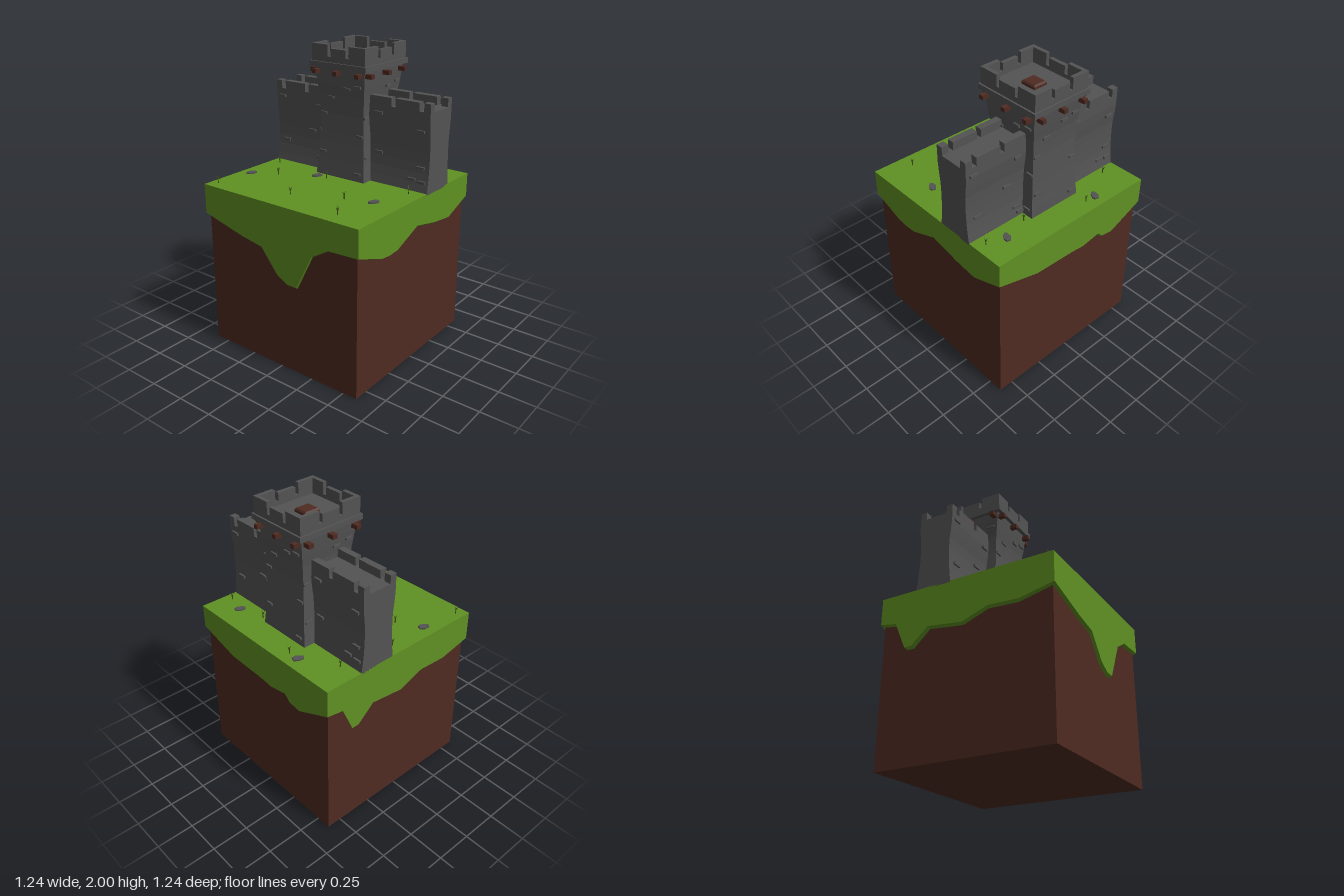
import * as THREE from 'three';

const mat = (name, color) => {
  const m = new THREE.MeshStandardMaterial({ color });
  m.name = name;
  return m;
};

// piecewise linear lookup in [[y, value], ...]
function lookup(profile, y) {
  for (let i = 1; i < profile.length; i++) {
    const [y0, a] = profile[i - 1], [y1, b] = profile[i];
    if (y <= y1) return a + (b - a) * Math.max(0, (y - y0) / (y1 - y0));
  }
  return profile[profile.length - 1][1];
}

export function createModel() {
  const model = new THREE.Group();
  const stone = mat('stone', 0x535353);
  const grass = mat('grass', 0x5f9122);
  const earth = mat('earth', 0x4e2b22);
  const sproutGreen = mat('sprout', 0x3c4f14);

  const add = (name, geo, material, parent = model) => {
    const mesh = new THREE.Mesh(geo, material);
    mesh.name = name;
    parent.add(mesh);
    return mesh;
  };
  // box from its lower and upper limits
  const block = (name, x0, x1, y0, y1, z0, z1, material, parent) => {
    const m = add(name, new THREE.BoxGeometry(x1 - x0, y1 - y0, z1 - z0), material, parent);
    m.position.set((x0 + x1) / 2, (y0 + y1) / 2, (z0 + z1) / 2);
    return m;
  };
  const group = (name, x = 0, y = 0, z = 0) => {
    const g = new THREE.Group();
    g.name = name;
    g.position.set(x, y, z);
    model.add(g);
    return g;
  };
  const flat = (g) => {
    const n = g.index ? g.toNonIndexed() : g;
    n.computeVertexNormals();
    return n;
  };
  // column whose half width and half depth follow rules of height
  const curvedColumn = (y0, y1, segments, halfX, halfZ) => {
    const geo = new THREE.BoxGeometry(2, y1 - y0, 2, 1, segments, 1);
    geo.translate(0, (y0 + y1) / 2, 0);
    const p = geo.attributes.position;
    for (let i = 0; i < p.count; i++) {
      const y = p.getY(i);
      p.setX(i, p.getX(i) * halfX(y));
      p.setZ(i, p.getZ(i) * halfZ(y));
    }
    return flat(geo);
  };

  // earth block and turf with a ragged hanging edge
  block('earthBlock', -0.6, 0.6, 0, 1.12, -0.6, 0.6, earth);
  const top = 1.13, R = 0.62, IN = 0.6;
  const turf = group('turf');
  const turfTop = add('turfTop', new THREE.PlaneGeometry(2 * R, 2 * R), grass, turf);
  turfTop.rotation.x = -Math.PI / 2;
  turfTop.position.y = top;
  const edges = [
    ['turfFront', 0, [[-0.62, 0.95], [-0.38, 0.865], [-0.31, 0.857], [-0.22, 0.862], [0, 0.95], [0.22, 0.905], [0.39, 0.885], [0.62, 0.97]]],
    ['turfLeft', Math.PI / 2, [[-0.62, 0.97], [-0.31, 0.885], [0, 0.875], [0.09, 0.865], [0.23, 0.89], [0.27, 0.85], [0.36, 0.835], [0.62, 0.95]]],
    ['turfBack', Math.PI, [[-0.62, 0.95], [-0.5, 0.93], [-0.42, 0.75], [-0.37, 0.75], [-0.25, 0.855], [0, 0.825], [0.18, 0.89], [0.39, 0.88], [0.62, 0.93]]],
    ['turfRight', -Math.PI / 2, [[-0.62, 0.93], [-0.3, 0.85], [-0.13, 0.82], [0, 0.66], [0.08, 0.62], [0.15, 0.62], [0.28, 0.87], [0.4, 0.94], [0.62, 0.95]]],
  ];
  for (const [name, turn, pts] of edges) {
    const v = [];
    const quad = (a, b, c, d) => v.push(...a, ...b, ...c, ...a, ...c, ...d);
    const inner = ([u, y]) => [u * IN / R, y - 0.015, IN - 0.002];
    for (let i = 1; i < pts.length; i++) {
      const a = pts[i - 1], b = pts[i];
      const lo = [a[0], a[1], R], hi = [b[0], b[1], R];
      quad(lo, hi, [b[0], top, R], [a[0], top, R]);
      quad(inner(a), inner(b), hi, lo);
    }
    const geo = new THREE.BufferGeometry();
    geo.setAttribute('position', new THREE.Float32BufferAttribute(v, 3));
    add(name, flat(geo), grass, turf).rotation.y = turn;
  }

  const CX = 0.225, CZ = -0.006;

  // curtain wall running front to back, waisted in cross-section
  const wall = group('curtainWall', CX);
  const wallHalf = [[1.12, 0.131], [1.22, 0.117], [1.35, 0.11], [1.45, 0.112], [1.56, 0.125], [1.645, 0.125]];
  const wallX = (y) => lookup(wallHalf, y);
  add('wallBody', curvedColumn(1.12, 1.645, 8, wallX, () => 0.62), stone, wall);
  for (const sx of [-1, 1]) for (const sz of [-1, 1])
    for (const [a, b] of [[0.15, 0.335], [0.365, 0.54], [0.573, 0.62]]) {
      const m = block('wallMerlon', 0.08, 0.125, 1.645, 1.7, a, b, stone, wall);
      m.position.x *= sx;
      m.position.z *= sz;
    }
  const wallBricks = [[0.565, 1.595], [0.31, 1.385], [0.235, 1.565], [0.54, 1.285], [0.24, 1.205], [0.215, 1.163],
    [-0.245, 1.595], [-0.555, 1.52], [-0.245, 1.335], [-0.56, 1.285], [-0.5, 1.205], [-0.575, 1.195]];
  for (const s of [-1, 1]) for (const [z, y] of wallBricks) {
    const m = add('wallBrick', new THREE.BoxGeometry(0.024, 0.018, 0.056), stone, wall);
    m.position.set(s * wallX(y), y, s * z);
  }

  // tower shaft
  const tower = group('tower', CX, 0, CZ);
  const shaft = [[1.12, 0.21], [1.25, 0.198], [1.4, 0.189], [1.55, 0.185], [1.66, 0.189], [1.76, 0.203], [1.86, 0.213]];
  const towerX = (y) => lookup(shaft, y), towerZ = (y) => lookup(shaft, y) * 0.935;
  add('towerShaft', curvedColumn(1.12, 1.86, 12, towerX, towerZ), stone, tower);
  const shaftBricks = [[0.06, 1.73], [-0.09, 1.66], [0.155, 1.75], [-0.16, 1.55], [0.165, 1.43], [-0.16, 1.29], [0.16, 1.18]];
  for (const s of [-1, 1]) for (const [u, y] of shaftBricks) {
    const side = add('towerBrick', new THREE.BoxGeometry(0.022, 0.016, 0.05), stone, tower);
    side.position.set(s * towerX(y), y, -s * u * 0.9);
    const face = add('towerBrick', new THREE.BoxGeometry(0.05, 0.016, 0.022), stone, tower);
    face.position.set(s * u, y, s * towerZ(y));
  }

  // ledge, parapet and battlements
  const HX = 0.227, HZ = 0.21, T = 0.027;
  block('towerLedge', -0.239, 0.239, 1.855, 1.89, -0.222, 0.222, stone, tower);
  block('towerFloor', -HX + T, HX - T, 1.885, 1.9, -HZ + T, HZ - T, stone, tower);
  for (const s of [-1, 1]) {
    const along = (name, x0, x1, y0, y1) => {
      block(name, x0, x1, y0, y1, HZ - T, HZ, stone, tower).position.z *= s;
    };
    const across = (name, z0, z1, y0, y1) => {
      block(name, HX - T, HX, y0, y1, z0, z1, stone, tower).position.x *= s;
    };
    along('parapet', -HX, HX, 1.89, 1.925);
    across('parapet', -HZ + T, HZ - T, 1.89, 1.925);
    along('middleMerlon', -0.065, 0.065, 1.925, 1.977);
    across('middleMerlon', -0.06, 0.06, 1.925, 1.977);
    for (const [a, b] of [[-1, -0.088], [0.088, 1]])
      along('cornerMerlon', Math.max(a, -HX), Math.min(b, HX), 1.925, 2);
    across('cornerMerlon', 0.084, HZ - T, 1.925, 2);
    across('cornerMerlon', -HZ + T, -0.084, 1.925, 2);
  }

  // roof hatch with a bevelled lid
  block('hatchFrame', -0.054, 0.054, 1.9, 1.915, -0.05, 0.05, earth, tower);
  const lid = add('hatchLid', curvedColumn(1.915, 1.925, 1, (y) => (y > 1.92 ? 0.046 : 0.054), (y) => (y > 1.92 ? 0.042 : 0.05)), earth, tower);
  lid.position.y = 0;

  // beam ends under the ledge
  for (const s of [-1, 1]) {
    for (const x of [-0.187, 0, 0.178])
      block('beamEnd', x - 0.017, x + 0.017, 1.813, 1.841, 0.17, 0.245, earth, tower).position.z *= s;
    for (const z of [-0.171, -0.008, 0.163])
      block('beamEnd', 0.18, 0.257, 1.813, 1.841, z - 0.015, z + 0.015, earth, tower).position.x *= s;
  }

  // flat rocks
  const rockShape = new THREE.Shape([[-0.036, 0.01], [-0.024, 0.026], [0.012, 0.022], [0.035, 0.002], [0.028, -0.024], [0.004, -0.026], [-0.024, -0.008]]
    .map(([x, y]) => new THREE.Vector2(x, y)));
  const rockGeo = new THREE.ExtrudeGeometry(rockShape, { depth: 0.014, bevelEnabled: false });
  rockGeo.rotateX(-Math.PI / 2);
  for (const [x, z] of [[-0.273, -0.535], [-0.047, -0.147], [0.535, -0.262], [0.462, 0.42], [-0.227, 0.443]])
    add('rock', rockGeo, stone).position.set(x, top - 0.004, z);

  // three-leaved sprouts
  const stemGeo = new THREE.CylinderGeometry(0.003, 0.004, 0.032, 4);
  const leafGeo = new THREE.ConeGeometry(0.005, 0.03, 4);
  leafGeo.translate(0, 0.012, 0);
  leafGeo.rotateZ(-0.5);
  [[-0.55, -0.565], [0.017, -0.54], [0.4, -0.488], [-0.18, -0.375], [0.535, -0.183], [-0.427, -0.05], [-0.045, -0.068],
    [-0.287, 0.265], [0.412, 0.237], [-0.513, 0.39], [0.035, 0.525], [0.427, 0.553]].forEach(([x, z], i) => {
    const sprout = group('sprout', x, top, z);
    sprout.rotation.y = i * 0.3;
    add('stem', stemGeo, sproutGreen, sprout).position.y = 0.014;
    for (let k = 0; k < 3; k++) {
      const leaf = add('leaf', leafGeo, sproutGreen, sprout);
      leaf.position.y = 0.028;
      leaf.rotation.y = (k * Math.PI * 2) / 3;
    }
  });

  return model;
}
